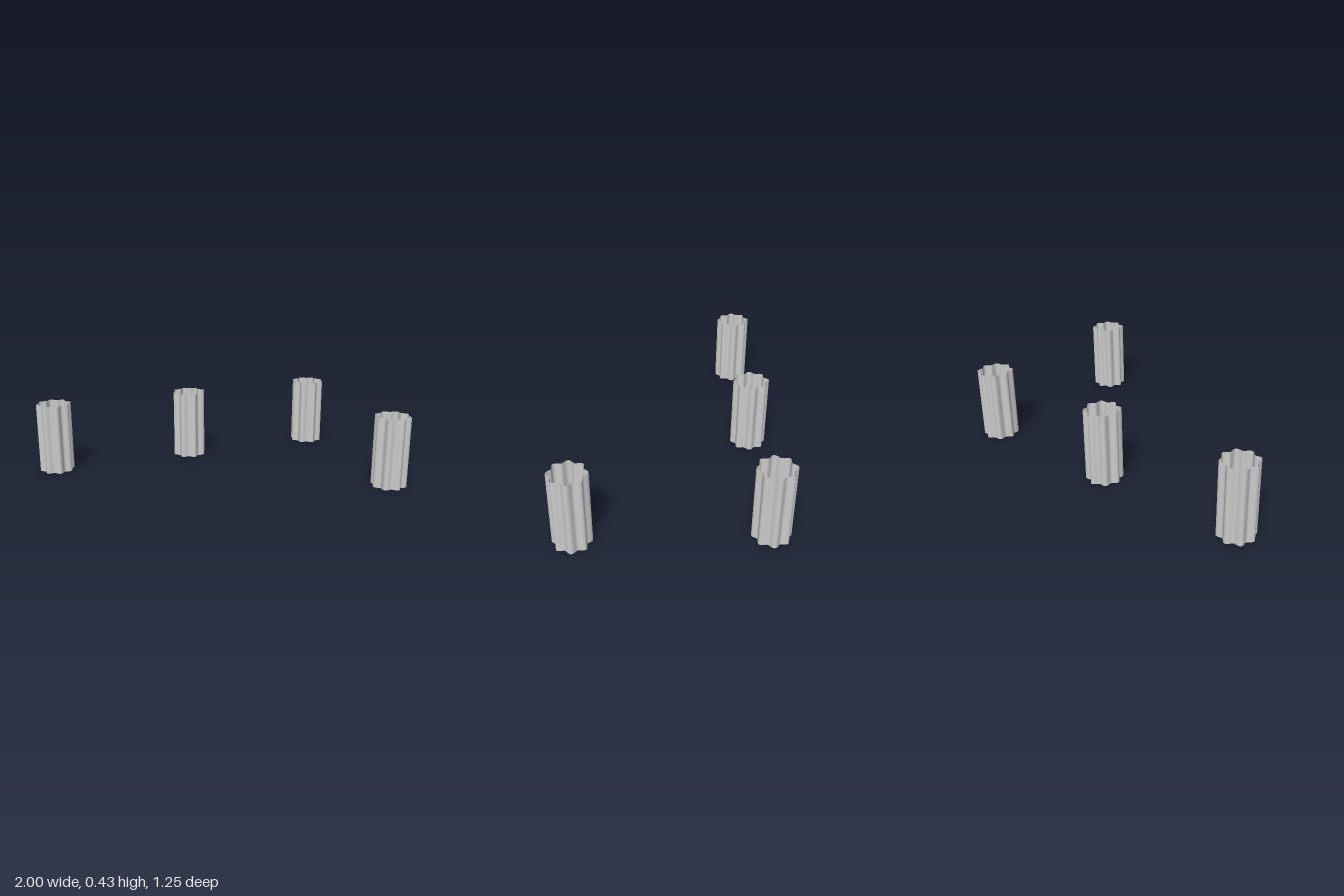
import * as THREE from 'three';
import { ParametricGeometry } from 'three/addons/geometries/ParametricGeometry.js';

const HEIGHT = 0.428;
const RADIUS = 0.096; // mean radius of the fluted wall
const WAVE = 0.0107; // depth of the flutes
const LOBES = 8;

export function createModel() {
  const model = new THREE.Group();
  const material = new THREE.MeshStandardMaterial({ color: 0xcccccc, side: THREE.DoubleSide });

  // Open, thin-walled tube with eight rounded flutes
  const flutedWall = new ParametricGeometry((u, v, target) => {
    const angle = u * Math.PI * 2;
    const r = RADIUS + WAVE * Math.cos(LOBES * angle);
    target.set(r * Math.sin(angle), v * HEIGHT, r * Math.cos(angle));
  }, 96, 1);

  // Three tubes along the back, one at the front corner
  const places = {
    backRightTube: [-0.893, -0.516],
    backMiddleTube: [0, -0.516],
    backLeftTube: [0.893, -0.516],
    frontLeftTube: [0.893, 0.516],
  };
  for (const [name, [x, z]] of Object.entries(places)) {
    const tube = new THREE.Mesh(flutedWall, material);
    tube.name = name;
    tube.position.set(x, 0, z);
    model.add(tube);
  }
  return model;
}
